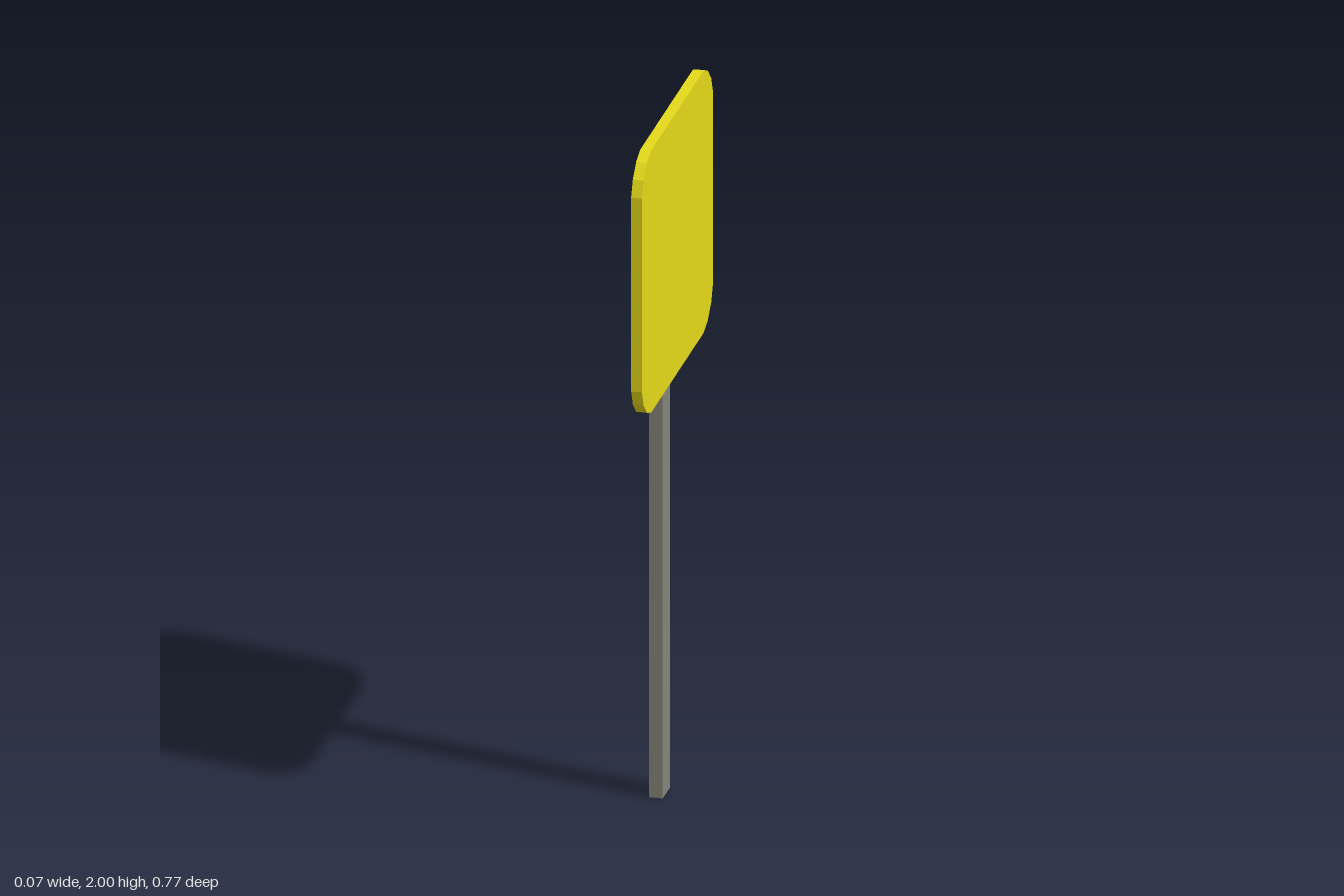
import * as THREE from 'three';

export function createModel() {
  const group = new THREE.Group();
  const postMaterial = new THREE.MeshStandardMaterial({ color: 0x86857a, flatShading: true, side: THREE.DoubleSide });
  const panelMaterial = new THREE.MeshStandardMaterial({ color: 0xe5d919, flatShading: true });

  // Square post, open at the foot (the underside is face group 3 of the box)
  const postHeight = 1.85;
  const postGeometry = new THREE.BoxGeometry(0.038, postHeight, 0.077);
  const index = Array.from(postGeometry.index.array);
  index.splice(18, 6);
  postGeometry.setIndex(index);
  postGeometry.clearGroups();
  const post = new THREE.Mesh(postGeometry, postMaterial);
  post.name = 'post';
  post.position.set(-0.016, postHeight / 2, 0);
  group.add(post);

  // Sign panel: a square with faceted round corners, one corner turned four times
  const half = 0.3835;
  const corner = [[0, 0.1], [0.018, 0.055], [0.055, 0.018], [0.1, 0]];
  const outline = [];
  for (let i = 0; i < 4; i++) {
    for (const [dx, dy] of corner) {
      outline.push(new THREE.Vector2(half - dx, half - dy).rotateAround(new THREE.Vector2(), i * Math.PI / 2));
    }
  }
  const panelGeometry = new THREE.ExtrudeGeometry(new THREE.Shape(outline), { depth: 0.03, bevelEnabled: false });
  panelGeometry.rotateY(Math.PI / 2);
  const panel = new THREE.Mesh(panelGeometry, panelMaterial);
  panel.name = 'signPanel';
  panel.position.set(0.004, 2 - half, 0);
  group.add(panel);

  return group;
}
